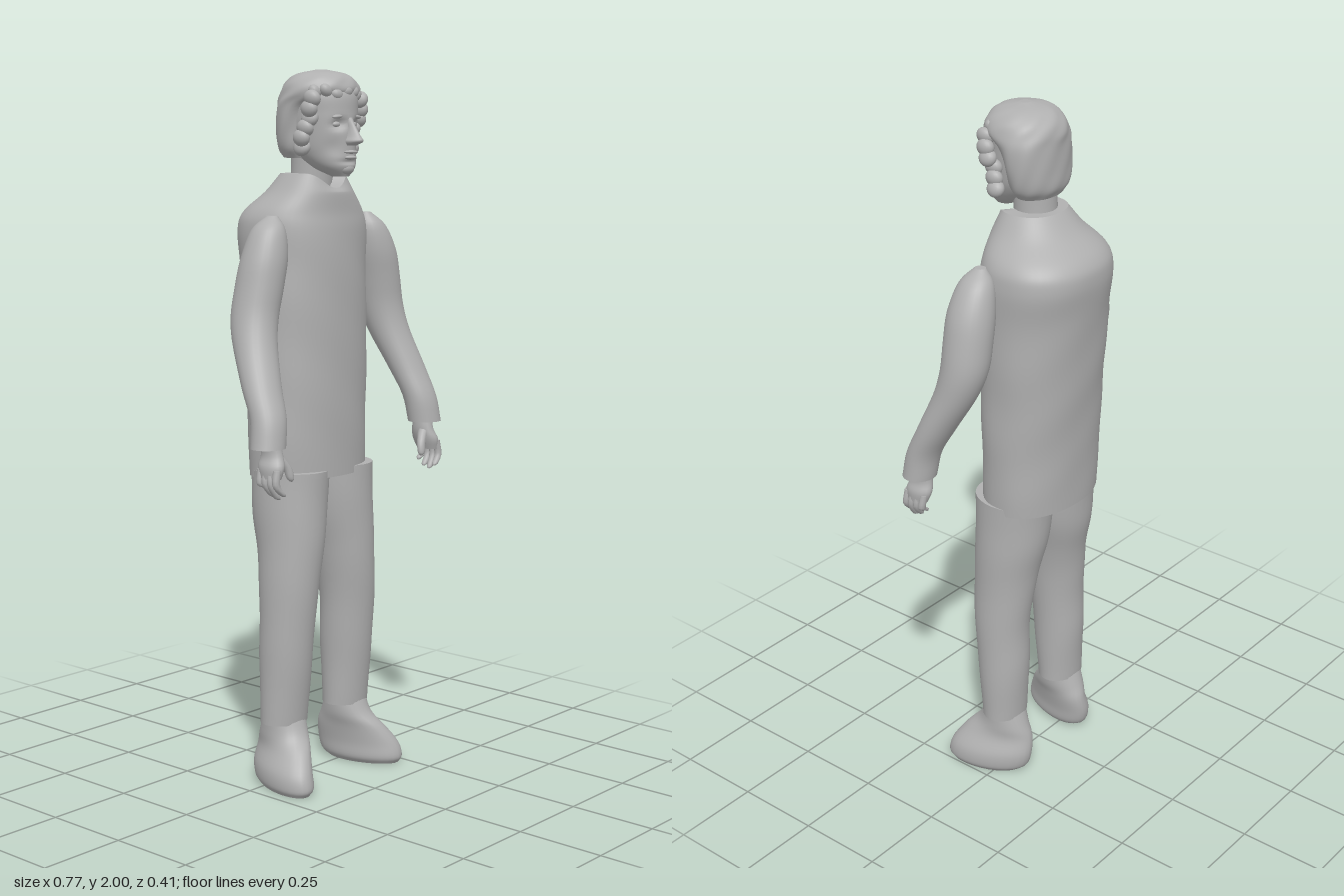
import * as THREE from 'three';

const grey = new THREE.MeshStandardMaterial({ color: 0xb0b0b0 });
grey.name = 'plain grey';

// Closed loft through elliptical sections [y, cx, cz, rx, rz, yaw], lowest first.
function loft(name, sections, { sides = 28, rows = 24, power = 2, deform } = {}) {
  const spine = new THREE.CatmullRomCurve3(sections.map(([y, cx, cz]) => new THREE.Vector3(cx, y, cz)), false, 'catmullrom');
  const size = new THREE.CatmullRomCurve3(sections.map((s) => new THREE.Vector3(s[3], s[4], s[5] || 0)), false, 'catmullrom');
  const pos = [], index = [];
  const ring = (t, scale) => {
    const c = spine.getPoint(t), r = size.getPoint(t);
    for (let j = 0; j < sides; j++) {
      const a = (j / sides) * Math.PI * 2, ca = Math.cos(a), sa = Math.sin(a);
      const lx = Math.sign(ca) * Math.abs(ca) ** (2 / power) * r.x * scale;
      const lz = Math.sign(sa) * Math.abs(sa) ** (2 / power) * r.y * scale;
      const p = new THREE.Vector3(
        c.x + lx * Math.cos(r.z) + lz * Math.sin(r.z), c.y,
        c.z - lx * Math.sin(r.z) + lz * Math.cos(r.z));
      if (deform) deform(p, c, a, t);
      pos.push(p.x, p.y, p.z);
    }
  };
  ring(0, 0.001);
  ring(0, 1);
  for (let i = 0; i <= rows; i++) ring(i / rows, 1);
  ring(1, 1);
  ring(1, 0.001);
  for (let i = 0; i < rows + 4; i++) {
    if (i === 1 || i === rows + 2) continue; // sharp edge at each cap
    for (let j = 0; j < sides; j++) {
      const k = (j + 1) % sides;
      const a = i * sides + j, b = i * sides + k, c = b + sides, d = a + sides;
      index.push(a, d, b, b, d, c);
    }
  }
  const g = new THREE.BufferGeometry();
  g.setAttribute('position', new THREE.Float32BufferAttribute(pos, 3));
  g.setIndex(index);
  g.computeVertexNormals();
  const m = new THREE.Mesh(g, grey);
  m.name = name;
  return m;
}

const ball = new THREE.SphereGeometry(1, 18, 12);
function blob(name, x, y, z, rx, ry, rz, tilt = 0) {
  const m = new THREE.Mesh(ball, grey);
  m.name = name;
  m.position.set(x, y, z);
  m.scale.set(rx, ry, rz);
  m.rotation.z = tilt;
  return m;
}

// Soft cloth folds: push points in and out from the section centre
const folds = (amount) => (p, c) => {
  const k = 1 + amount * (Math.sin(p.y * 31 + p.x * 23) + Math.sin(p.y * 17 - p.z * 29 + p.x * 11));
  p.x = c.x + (p.x - c.x) * k;
  p.z = c.z + (p.z - c.z) * k;
};

function makeHead() {
  const head = new THREE.Group();
  head.name = 'head';
  const dent = (p, x, y, w, h, d) => {
    if (p.z > 0.08) p.z -= d * Math.exp(-(((Math.abs(p.x) - x) / w) ** 2) - ((p.y - y) / h) ** 2);
  };
  head.add(loft('neck', [[1.6, 0, 0, 0.07, 0.06], [1.7, 0, 0.01, 0.06, 0.058], [1.8, 0, 0.015, 0.06, 0.06]]));
  head.add(loft('face', [
    [1.712, 0, 0.115, 0.022, 0.025], [1.74, 0, 0.088, 0.056, 0.066], [1.78, 0, 0.058, 0.078, 0.096],
    [1.82, 0, 0.046, 0.087, 0.108], [1.88, 0, 0.044, 0.092, 0.108], [1.94, 0, 0.044, 0.09, 0.1],
    [1.98, 0, 0.045, 0.05, 0.05],
  ], {
    sides: 56, rows: 48, deform: (p) => {
      dent(p, 0.034, 1.852, 0.018, 0.013, 0.016); // eye sockets
      dent(p, 0.05, 1.79, 0.022, 0.025, 0.006); // cheeks
      dent(p, 0, 1.752, 0.03, 0.006, 0.008); // fold below the lip
    },
  }));
  head.add(loft('nose', [
    [1.795, 0, 0.15, 0.014, 0.018], [1.806, 0, 0.157, 0.021, 0.036], [1.82, 0, 0.152, 0.015, 0.034],
    [1.845, 0, 0.145, 0.01, 0.024], [1.87, 0, 0.14, 0.012, 0.014],
  ], { sides: 16, rows: 14 }));
  head.add(blob('upperLip', 0, 1.778, 0.153, 0.026, 0.005, 0.013));
  head.add(blob('lowerLip', 0, 1.763, 0.15, 0.022, 0.006, 0.013));
  head.add(blob('chin', 0, 1.734, 0.135, 0.026, 0.018, 0.02));
  for (const s of [-1, 1]) {
    head.add(blob('eye', s * 0.034, 1.852, 0.126, 0.015, 0.009, 0.012));
    head.add(blob('brow', s * 0.036, 1.873, 0.137, 0.022, 0.006, 0.01, s * -0.1));
  }

  // Hair cap with waves, then locks framing the face
  head.add(loft('hair', [
    [1.762, 0, -0.004, 0.078, 0.05], [1.79, 0.002, -0.006, 0.1, 0.062], [1.84, 0.004, -0.004, 0.112, 0.066],
    [1.9, 0.005, 0.008, 0.117, 0.078], [1.935, 0.004, 0.036, 0.114, 0.106], [1.965, 0.002, 0.042, 0.1, 0.098],
    [1.988, 0, 0.044, 0.068, 0.07], [2, 0, 0.045, 0.015, 0.015],
  ], {
    sides: 48, rows: 36, deform: (p, c, a, t) => {
      const k = 1 + 0.022 * Math.sin(a * 7 + t * 9) * Math.sin(t * 14 + a * 2);
      p.x = c.x + (p.x - c.x) * k;
      p.z = c.z + (p.z - c.z) * k;
    },
  }));
  for (const s of [-1, 1]) {
    for (let i = 0; i < 6; i++) {
      const y = 1.79 + i * 0.026;
      head.add(blob('sideLock', s * (0.101 + 0.008 * Math.sin(i * 2 + s)) + 0.005, y, 0.055 + i * 0.009,
        0.019, 0.024, 0.026, s * 0.4 * Math.cos(i * 2)));
    }
  }
  for (let i = 0; i < 7; i++) {
    const a = (i - 3) * 0.32;
    head.add(blob('fringeLock', Math.sin(a) * 0.1, 1.937 + 0.006 * Math.sin(i * 2.3), 0.04 + Math.cos(a) * 0.093,
      0.022, 0.017, 0.017, a));
  }
  return head;
}

// Palm, four curled fingers and a thumb; s = +1 for the left side
function makeHand(s) {
  const hand = new THREE.Group();
  hand.name = s > 0 ? 'leftHand' : 'rightHand';
  const x = (v) => s * v;
  hand.add(loft('palm', [
    [0.925, x(0.335), 0.163, 0.02, 0.034], [0.955, x(0.33), 0.16, 0.026, 0.042],
    [0.985, x(0.322), 0.156, 0.024, 0.034], [1.03, x(0.325), 0.152, 0.025, 0.027],
  ], { sides: 18, rows: 12 }));
  for (let i = 0; i < 4; i++) {
    const z = 0.134 + i * 0.019, tip = 0.868 + [0.022, 0.006, 0, 0.01][i];
    hand.add(loft('finger', [
      [tip, x(0.322), z + 0.008, 0.004, 0.004], [tip + 0.008, x(0.329), z + 0.007, 0.01, 0.009],
      [0.91, x(0.347), z + 0.003, 0.011, 0.01], [0.95, x(0.34), z, 0.012, 0.011],
    ], { sides: 10, rows: 10 }));
  }
  hand.add(loft('thumb', [
    [0.912, x(0.279), 0.186, 0.004, 0.004], [0.922, x(0.281), 0.184, 0.011, 0.01],
    [0.95, x(0.288), 0.178, 0.013, 0.012], [0.985, x(0.312), 0.165, 0.014, 0.015],
  ], { sides: 10, rows: 10 }));
  return hand;
}

export function createModel() {
  const model = new THREE.Group();
  model.name = 'standingMan';
  model.add(makeHead());

  // Long jacket, its neckline dipping at the front
  const cloth = folds(0.005);
  model.add(loft('jacket', [
    [0.88, 0.015, -0.018, 0.19, 0.13], [1.05, 0.015, -0.02, 0.191, 0.136], [1.25, 0.016, -0.026, 0.191, 0.145],
    [1.45, 0.017, -0.035, 0.19, 0.154], [1.56, 0.018, -0.042, 0.192, 0.159], [1.615, 0.016, -0.036, 0.178, 0.147],
    [1.67, 0.007, -0.004, 0.128, 0.112], [1.72, 0.002, 0.014, 0.092, 0.084],
  ], {
    sides: 48, rows: 48, power: 2.2, deform: (p, c, a, t) => {
      cloth(p, c);
      if (t > 0.85) p.y -= 0.04 * ((t - 0.85) / 0.15) * Math.max(0, Math.sin(a)) ** 6;
    },
  }));

  // Sleeves: shared depth and thickness, with a separate sideways line for each arm
  const sleeve = [
    [1.005, 0.154, 0.05, 0.046], [1.08, 0.14, 0.052, 0.047], [1.16, 0.1, 0.056, 0.052], [1.26, 0.05, 0.061, 0.06],
    [1.34, 0.026, 0.065, 0.066], [1.42, 0.023, 0.066, 0.067], [1.5, 0.025, 0.064, 0.064],
    [1.57, 0.026, 0.046, 0.048], [1.608, 0.026, 0.014, 0.016],
  ];
  const sleeveX = {
    left: [0.332, 0.325, 0.315, 0.298, 0.285, 0.27, 0.252, 0.23, 0.213],
    right: [-0.335, -0.319, -0.301, -0.272, -0.248, -0.227, -0.208, -0.194, -0.178],
  };
  for (const side of ['left', 'right']) {
    model.add(loft(side + 'Sleeve', sleeve.map(([y, z, rx, rz], i) => [y, sleeveX[side][i], z, rx, rz]),
      { rows: 32, deform: folds(0.006) }));
    model.add(makeHand(side === 'left' ? 1 : -1));
  }

  // Trousers and shoes, mirrored about a line slightly off centre
  for (const s of [1, -1]) {
    const side = s > 0 ? 'left' : 'right';
    const x = (v) => 0.014 + s * v;
    model.add(loft(side + 'TrouserLeg', [
      [0.18, x(0.133), 0.012, 0.073, 0.06], [0.35, x(0.131), 0.016, 0.076, 0.074],
      [0.5, x(0.127), 0.022, 0.079, 0.081], [0.65, x(0.114), 0.018, 0.087, 0.095],
      [0.77, x(0.1), 0.006, 0.1, 0.108], [0.9, x(0.093), 0, 0.103, 0.116],
    ], { rows: 36, deform: folds(0.007) }));
    model.add(loft(side + 'Shoe', [
      [0, x(0.173), 0.052, 0.05, 0.108, s * 0.3], [0.02, x(0.17), 0.046, 0.062, 0.126, s * 0.3],
      [0.06, x(0.165), 0.036, 0.062, 0.125, s * 0.3], [0.11, x(0.146), 0.024, 0.056, 0.105, s * 0.25],
      [0.15, x(0.136), 0.014, 0.06, 0.078, s * 0.1], [0.2, x(0.133), 0.012, 0.062, 0.056, 0],
    ], { rows: 24 }));
  }
  return model;
}
